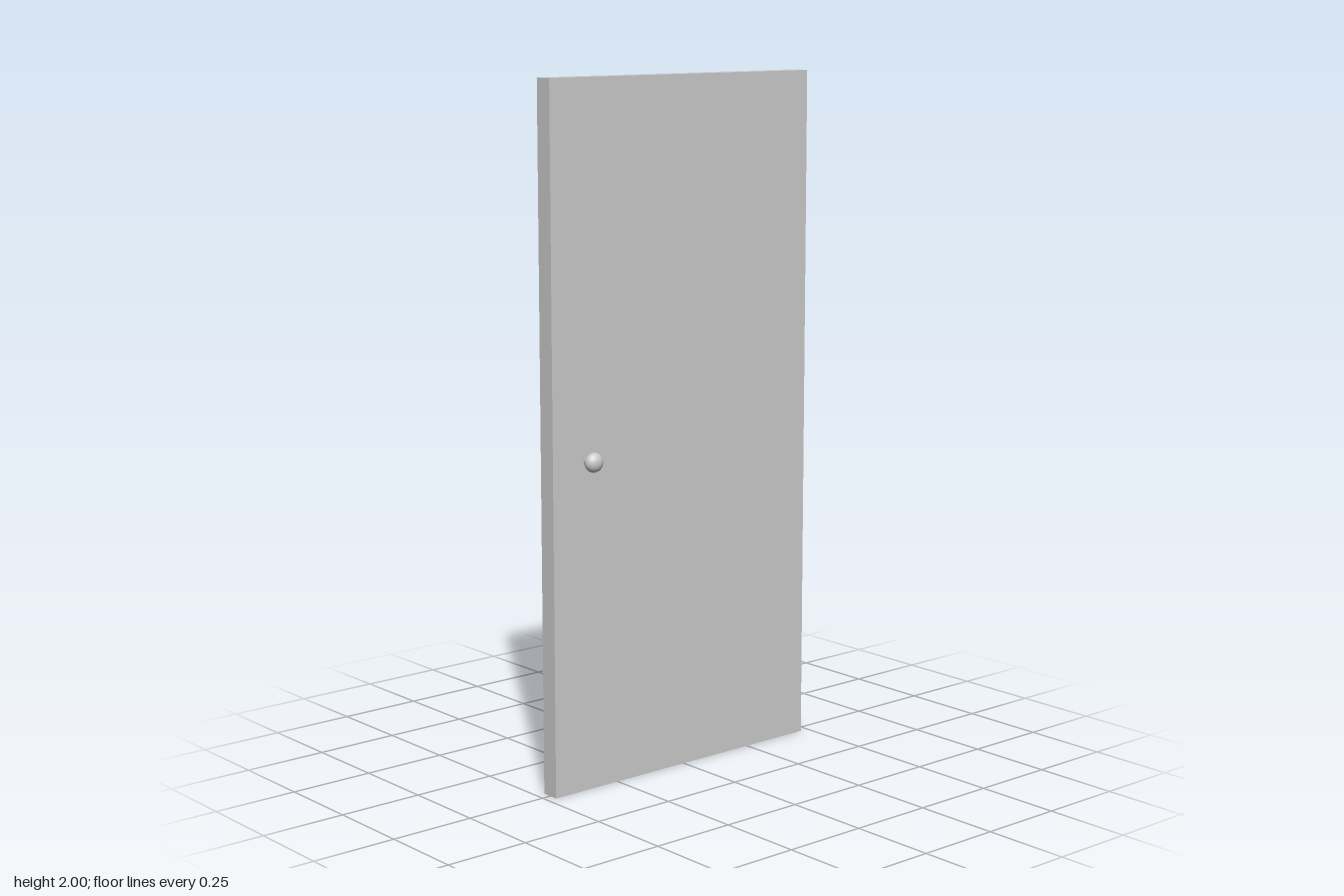
import * as THREE from 'three';

export function createModel() {
  const model = new THREE.Group();
  const material = new THREE.MeshStandardMaterial({ color: 0xcccccc });

  function add(parent, name, geometry, x, y, z) {
    const mesh = new THREE.Mesh(geometry, material);
    mesh.name = name;
    mesh.position.set(x, y, z);
    parent.add(mesh);
    return mesh;
  }

  // Plain door slab
  add(model, 'doorPanel', new THREE.BoxGeometry(0.946, 2, 0.054), 0, 1, 0);

  // A stem and a flattened round knob on each face
  const stem = new THREE.CylinderGeometry(0.01, 0.01, 0.04, 24).rotateX(Math.PI / 2);
  const knob = new THREE.SphereGeometry(0.028, 32, 20).rotateX(Math.PI / 2).scale(1, 1, 0.8);
  for (const [name, side] of [['frontKnob', 1], ['backKnob', -1]]) {
    const handle = new THREE.Group();
    handle.name = name;
    handle.position.set(-0.356, 0.95, 0);
    add(handle, 'knobStem', stem, 0, 0, side * 0.035);
    add(handle, 'knobHead', knob, 0, 0, side * 0.06);
    model.add(handle);
  }
  return model;
}
